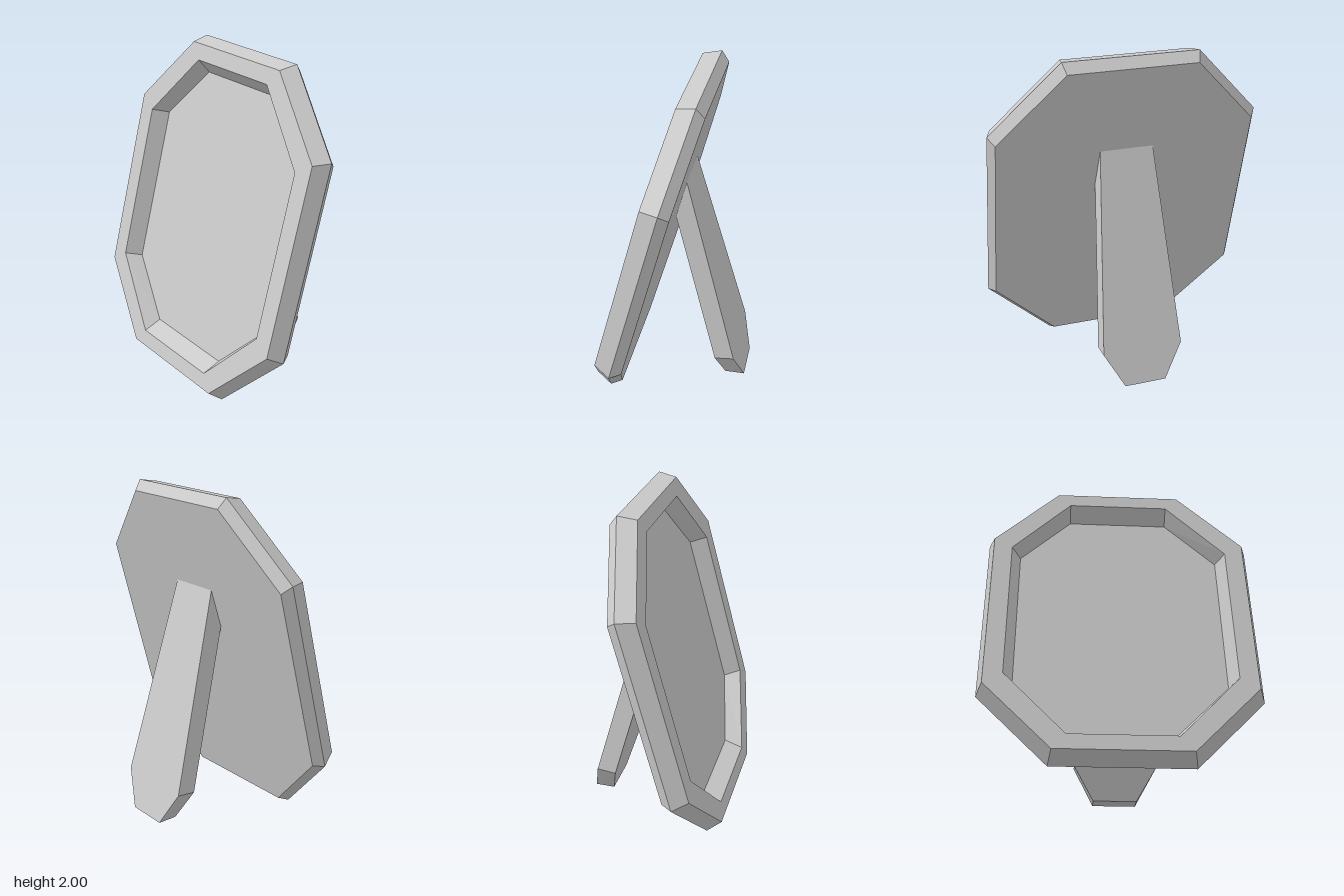
import * as THREE from 'three';

const material = new THREE.MeshStandardMaterial({ color: 0xcccccc, flatShading: true });

// Skin a sequence of rings (counter-clockwise when seen from the end), with optional caps.
function loft(name, rings, capStart, capEnd) {
  const pos = [];
  const tri = (a, b, c) => pos.push(...a, ...b, ...c);
  const n = rings[0].length;
  for (let i = 0; i < rings.length - 1; i++) {
    for (let j = 0; j < n; j++) {
      const k = (j + 1) % n;
      tri(rings[i][j], rings[i][k], rings[i + 1][k]);
      tri(rings[i][j], rings[i + 1][k], rings[i + 1][j]);
    }
  }
  const first = rings[0], last = rings[rings.length - 1];
  for (let j = 1; j < n - 1; j++) {
    if (capStart) tri(first[0], first[j + 1], first[j]);
    if (capEnd) tri(last[0], last[j], last[j + 1]);
  }
  const geometry = new THREE.BufferGeometry();
  geometry.setAttribute('position', new THREE.Float32BufferAttribute(pos, 3));
  geometry.computeVertexNormals();
  const mesh = new THREE.Mesh(geometry, material);
  mesh.name = name;
  return mesh;
}

// Octagon: half-width of the top edge, half-height, half-width, half-height of the side edge.
const CENTRE = 0.939;
const octagon = (topX, topY, sideX, sideY, z) => [
  [sideX, -sideY], [sideX, sideY], [topX, topY], [-topX, topY],
  [-sideX, sideY], [-sideX, -sideY], [-topX, -topY], [topX, -topY],
].map(([x, y]) => [x, y + CENTRE, z]);

export function createModel() {
  const model = new THREE.Group();
  model.name = 'standingPictureFrame';

  // Frame leaning back by 15 degrees
  const tilted = new THREE.Group();
  tilted.name = 'tiltedFrame';
  tilted.rotation.x = -Math.PI / 12;
  model.add(tilted);

  const back = octagon(0.387, 0.986, 0.783, 0.563, 0.293);
  const ridge = octagon(0.405, 1.033, 0.82, 0.59, 0.354);
  const front = octagon(0.387, 0.986, 0.783, 0.563, 0.458);
  const lip = octagon(0.31, 0.89, 0.67, 0.491, 0.458);
  const recess = octagon(0.31, 0.823, 0.62, 0.491, 0.357);
  tilted.add(loft('frameBorder', [back, ridge, front, lip, recess], true, false));
  tilted.add(loft('picturePanel', [recess], false, true));

  // Rear leg, tapering upward, with chamfered foot corners; its top sits inside the frame
  const legSection = (xFront, yFront, xBack, yBack) => {
    const zFront = -0.33 + 0.268 * yFront, zBack = -0.452 + 0.268 * yBack;
    return [
      [-xFront, yFront, zFront], [xFront, yFront, zFront],
      [xBack, yBack, zBack], [-xBack, yBack, zBack],
    ];
  };
  model.add(loft('supportLeg', [
    legSection(0.13, 0, 0.13, 0),
    legSection(0.25, 0.2, 0.25, 0.213),
    legSection(0.175, 1.233, 0.159, 1.457),
  ], true, true));

  return model;
}
